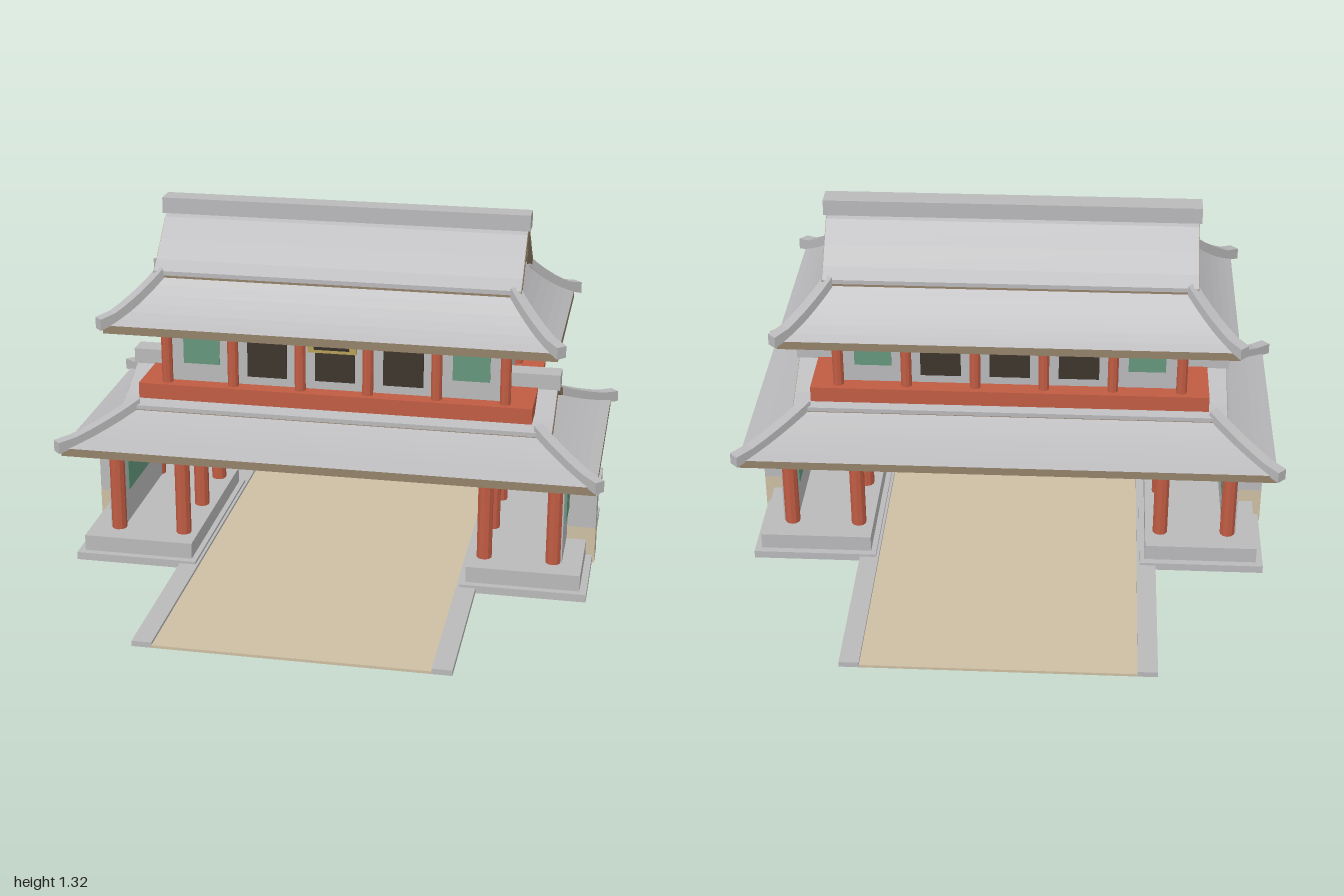
import * as THREE from 'three';

const mat = (name, color) => {
  const m = new THREE.MeshStandardMaterial({ color });
  m.name = name;
  return m;
};

export function createModel() {
  const grey = mat('stone grey', 0xb9b9bb);
  const red = mat('vermilion', 0xc05c43);
  const brown = mat('timber brown', 0x94826a);
  const green = mat('lattice green', 0x64967c);
  const tan = mat('sand', 0xcdbfa3);
  const dark = mat('dark door', 0x3c352d);
  const gold = mat('plaque gold', 0xc4ac5e);
  const model = new THREE.Group();
  model.name = 'gatehouse';

  const add = (name, geo, material, parent = model) => {
    const m = new THREE.Mesh(geo, material);
    m.name = name;
    parent.add(m);
    return m;
  };
  // Box given by its ranges on x, y and z
  const box = (name, material, [x0, x1], [y0, y1], [z0, z1], parent = model) => {
    const g = new THREE.BoxGeometry(Math.abs(x1 - x0), y1 - y0, Math.abs(z1 - z0));
    g.translate((x0 + x1) / 2, (y0 + y1) / 2, (z0 + z1) / 2);
    return add(name, g, material, parent);
  };
  const column = (name, x, z, r, y0, y1) => {
    const g = new THREE.CylinderGeometry(r, r, y1 - y0, 10).toNonIndexed();
    g.computeVertexNormals();
    g.translate(x, (y0 + y1) / 2, z);
    add(name, g, red);
  };

  // Path with curbs
  box('path', tan, [-0.48, 0.48], [0, 0.01], [-1, 1]);
  for (const s of [-1, 1]) {
    box('curb', grey, [s * 0.48, s * 0.55], [0, 0.02], [-1, 1]);

    // Stone platforms, columns and side wall
    box('platformStep', grey, [s * 0.49, s * 0.945], [0.001, 0.03], [-0.39, 0.39]);
    box('platform', grey, [s * 0.51, s * 0.92], [0.002, 0.09], [-0.365, 0.365]);
    for (const z of [-0.265, 0, 0.265]) {
      column('innerColumn', s * 0.565, z, 0.028, 0.09, 0.4);
      if (z) column('outerColumn', s * 0.815, z, 0.028, 0.09, 0.4);
    }
    box('sideWall', grey, [s * 0.797, s * 0.847], [0.09, 0.4], [-0.27, 0.27]);
    box('sideLattice', green, [s * 0.792, s * 0.853], [0.215, 0.355], [-0.2, 0.2]);

    // Side pillar
    box('pillarFoot', tan, [s * 0.848, s * 0.953], [0, 0.14], [-0.055, 0.055]);
    box('pillar', grey, [s * 0.848, s * 0.953], [0.14, 0.285], [-0.055, 0.055]);
    box('pillarCap', grey, [s * 0.83, s * 0.963], [0.285, 0.33], [-0.075, 0.075]);

    // Cross beams
    for (const x of [0.565, 0.815]) {
      box('crossBeam', red, [s * (x - 0.03), s * (x + 0.03)], [0.395, 0.435], [-0.27, 0.27]);
    }
  }
  for (const z of [-0.262, 0, 0.262]) {
    box('longBeam', red, [-0.89, 0.89], [0.388, 0.435], [z - 0.035, z + 0.035]);
  }

  // Upper storey
  box('balcony', red, [-0.72, 0.72], [0.615, 0.673], [-0.26, 0.26]);
  box('upperWall', grey, [-0.61, 0.61], [0.62, 0.9], [-0.2, 0.2]);
  for (const s of [-1, 1]) {
    for (const x of [-0.62, -0.373, -0.124, 0.124, 0.373, 0.62]) {
      column('upperColumn', x, s * 0.222, 0.02, 0.67, 0.9);
    }
    for (const x of [-0.25, 0, 0.25]) {
      box('door', dark, [x - 0.073, x + 0.073], [0.705, 0.888], [s * 0.199, s * 0.206]);
    }
    for (const x of [-0.495, 0.495]) {
      box('window', green, [x - 0.067, x + 0.067], [0.742, 0.872], [s * 0.199, s * 0.206]);
    }
    // Tilted plaque under the eave
    const plaque = new THREE.Group();
    plaque.name = 'plaque';
    box('plaqueFrame', gold, [-0.088, 0.088], [-0.036, 0.036], [-0.009, 0.009], plaque);
    box('plaqueFace', dark, [-0.064, 0.064], [-0.022, 0.026], [0.008, 0.012], plaque);
    plaque.position.set(0, 0.87, s * 0.258);
    plaque.rotation.set(0.2, s < 0 ? Math.PI : 0, 0, 'YXZ');
    model.add(plaque);
  }

  // Rises slowly at the eave and faster near the top
  const sweep = t => 0.62 * t + 0.38 * t * t;

  // Four-sided skirt lofted through rectangular rings [halfX, y, halfZ]
  const skirtGeometry = rings => {
    const pos = [];
    const corner = ([x, y, z], k) => [[x, y, z], [x, y, -z], [-x, y, -z], [-x, y, z]][k % 4];
    for (let i = 0; i < rings.length - 1; i++) {
      for (let k = 0; k < 4; k++) {
        const a = corner(rings[i], k), b = corner(rings[i], k + 1);
        const c = corner(rings[i + 1], k + 1), d = corner(rings[i + 1], k);
        pos.push(...a, ...b, ...c, ...a, ...c, ...d);
      }
    }
    const g = new THREE.BufferGeometry();
    g.setAttribute('position', new THREE.Float32BufferAttribute(pos, 3));
    g.computeVertexNormals();
    return g;
  };
  // Profile in (z, y) extruded along x from x0 to x1
  const alongX = (pts, x0, x1) => {
    const shape = new THREE.Shape(pts.map(p => new THREE.Vector2(p[0], p[1])));
    const g = new THREE.ExtrudeGeometry(shape, { depth: x1 - x0, bevelEnabled: false });
    return g.rotateY(Math.PI / 2).translate(x0, 0, 0);
  };

  // Hip-and-gable roof
  const roof = (name, o) => {
    const r = new THREE.Group();
    r.name = name;
    model.add(r);
    const N = 6;
    box('eaveBoard', brown, [-o.x, o.x], [o.y - 0.03, o.y], [-o.z, o.z], r);
    const rings = [];
    for (let i = 0; i <= N; i++) {
      const t = i / N;
      rings.push([o.x - o.run * t, o.y + o.rise * sweep(t), o.z - o.run * t]);
    }
    rings.push([o.wallX - 0.01, o.y + o.rise + 0.02, o.z - o.run - 0.02]);
    add('roofSkirt', skirtGeometry(rings), grey, r);

    // Corner ridges
    const top = [], bottom = [];
    for (let i = 0; i <= N; i++) {
      const t = i / N, d = -o.run * Math.SQRT2 * t + (i ? 0 : 0.018);
      const y = o.y + o.rise * sweep(t);
      top.push(new THREE.Vector2(d, y + (i ? 0.026 : 0.03)));
      bottom.unshift(new THREE.Vector2(d, y - 0.012));
    }
    for (const sx of [-1, 1]) for (const sz of [-1, 1]) {
      const g = new THREE.ExtrudeGeometry(new THREE.Shape([...top, ...bottom]), { depth: 0.04, bevelEnabled: false });
      g.translate(0, 0, -0.02).rotateY(Math.atan2(-sz, sx)).translate(sx * o.x, 0, sz * o.z);
      add('cornerRidge', g, grey, r);
    }

    // Gable roof
    const half = o.gable;
    const curve = [...half.map(([z, y]) => [-z, y]), ...half.slice(0, -1).reverse()];
    const band = (a, b) => [...curve.map(([z, y]) => [z, y - a]), ...curve.map(([z, y]) => [z, y - b]).reverse()];
    add('gableRoof', alongX(band(0, 0.016), -o.gx, o.gx), grey, r);
    add('gableLining', alongX(band(0.016, 0.024), -o.gx + 0.005, o.gx - 0.005), brown, r);
    const foot = o.y + 0.02, inner = curve.slice(1, -1);
    add('gableWall', alongX([...inner.map(([z, y]) => [z, y - 0.022]),
      [inner[inner.length - 1][0], foot], [inner[0][0], foot]], -o.wallX, o.wallX), grey, r);
    for (const s of [-1, 1]) {
      const x = s * (o.gx - 0.008);
      add('bargeBoard', alongX(band(0.004, o.barge), x - 0.01, x + 0.01), brown, r);
      if (o.pendant) {
        const py = o.ridge - 0.115;
        add('gablePendant', alongX([[-0.02, py + 0.07], [-0.02, py + 0.015], [-0.01, py], [0.01, py],
          [0.02, py + 0.015], [0.02, py + 0.07]], x - 0.008, x + 0.008), brown, r);
      }
    }
    box('ridge', grey, [-o.gx - 0.01, o.gx + 0.01], [o.ridge, o.ridge + 0.058], [-0.04, 0.04], r);
  };

  roof('lowerRoof', {
    x: 0.965, y: 0.47, z: 0.445, run: 0.225, rise: 0.105, wallX: 0.71, gx: 0.79, barge: 0.034, ridge: 0.667,
    gable: [[0.245, 0.578], [0.18, 0.601], [0.11, 0.634], [0.04, 0.668], [0, 0.678]],
  });
  roof('upperRoof', {
    x: 0.81, y: 0.925, z: 0.37, run: 0.17, rise: 0.15, wallX: 0.6, gx: 0.662, barge: 0.036, ridge: 1.258, pendant: true,
    gable: [[0.212, 1.09], [0.17, 1.122], [0.11, 1.18], [0.04, 1.245], [0, 1.262]],
  });
  return model;
}
